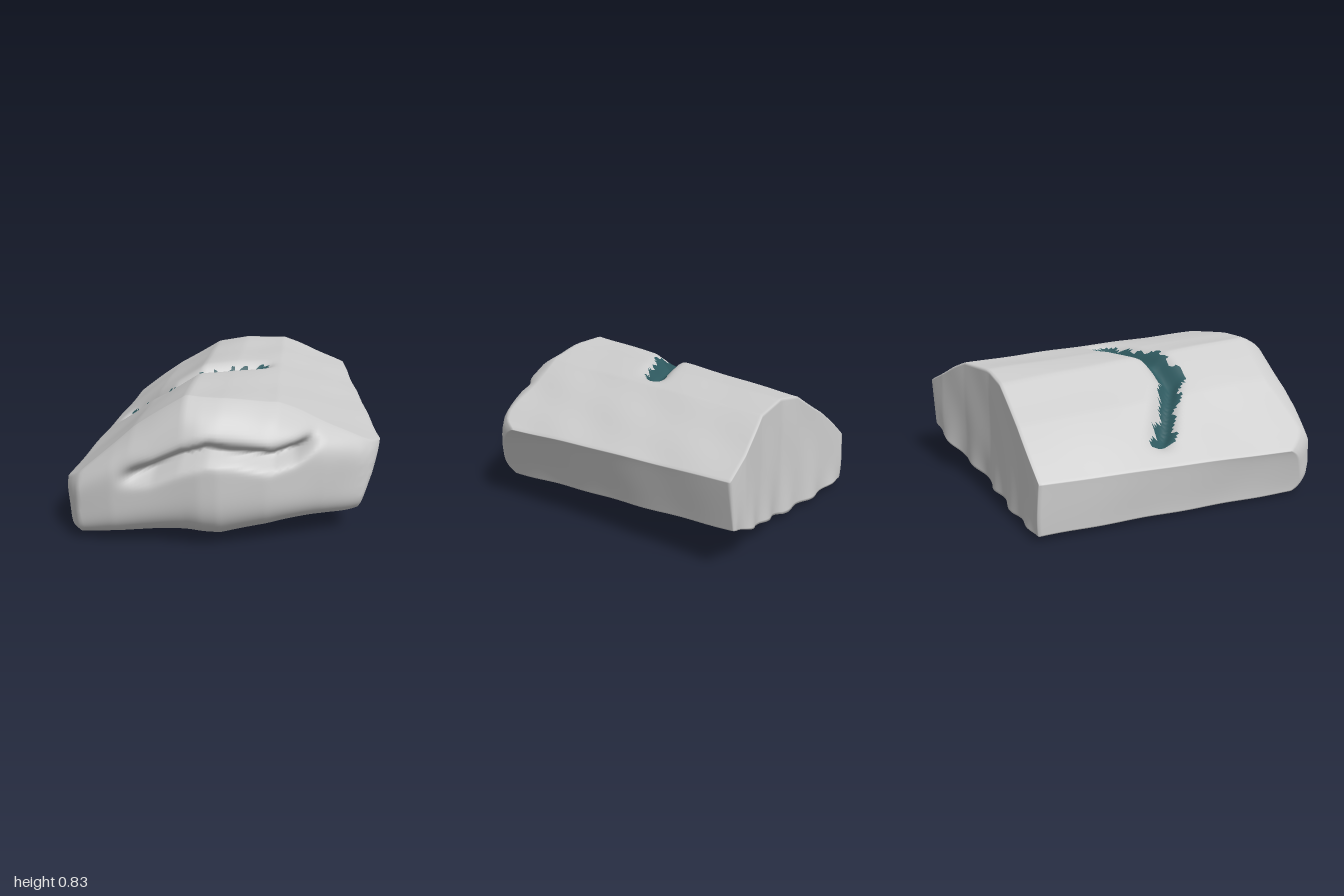
import * as THREE from 'three';
import { mergeVertices } from 'three/addons/utils/BufferGeometryUtils.js';

const lerp = THREE.MathUtils.lerp;
const smooth = THREE.MathUtils.smoothstep;

// piecewise linear lookup: rows of [key, value...]
function along(rows, key, col = 1) {
  if (key <= rows[0][0]) return rows[0][col];
  for (let i = 1; i < rows.length; i++) {
    const a = rows[i - 1], b = rows[i];
    if (key <= b[0]) return lerp(a[col], b[col], (key - a[0]) / (b[0] - a[0]));
  }
  return rows[rows.length - 1][col];
}

// cross-section edges: [u, front x, front y, back x, back y]
const TOP = [
  [-1, -0.87, 0.31, -0.75, 0.34], [-0.5, -0.47, 0.645, -0.45, 0.56],
  [-0.2, -0.18, 0.835, -0.17, 0.73], [0.02, 0.02, 0.82, 0.03, 0.76],
  [0.34, 0.3, 0.785, 0.29, 0.75], [1, 0.87, 0.51, 0.72, 0.54],
];
const BOTTOM = [
  [-1, -0.82, 0.025, -0.74, 0.04], [-0.5, -0.42, 0.015, -0.4, 0.035],
  [0, 0, 0.005, -0.02, 0.05], [0.5, 0.38, 0.075, 0.34, 0.14], [1, 0.74, 0.15, 0.68, 0.26],
];
// plan outline: [x, z]
const FRONT = [
  [-0.87, 0.76], [-0.82, 0.85], [-0.77, 0.91], [-0.57, 0.955], [-0.1, 1], [0, 0.995],
  [0.25, 0.94], [0.55, 0.82], [0.76, 0.71], [0.82, 0.65], [0.87, 0.54],
];
const BACK = [[-0.75, -0.81], [0, -0.82], [0.3, -0.89], [0.55, -0.97], [0.72, -1]];
// front slot [x, y] and top crack [x, z]
const SLOT = [
  [-0.52, 0.41], [-0.35, 0.455], [-0.2, 0.53], [-0.05, 0.58],
  [0.1, 0.56], [0.28, 0.525], [0.4, 0.555], [0.5, 0.61],
];
const CRACK = [
  [-0.67, -0.05], [-0.52, 0.05], [-0.35, 0.17], [-0.2, 0.155], [-0.05, 0.09], [0.22, -0.04],
];
// width of the crack lining on its front side: [x, width]
const LINING = [
  [-0.67, 0.09], [-0.55, 0.06], [-0.4, 0.09], [-0.3, 0.1], [-0.22, 0.06],
  [-0.12, 0.09], [-0.02, 0.05], [0.1, 0.06], [0.22, 0.05],
];

// uneven hand-worn surface
function bump(x, y, z) {
  return 0.003 * Math.sin(9 * x + 5 * z + 2) * Math.cos(8 * z - 6 * y)
    + 0.002 * Math.sin(17 * x - 11 * y + 4 * z);
}

// maps a point of the cube (each side -1..1) onto the slab
function shape(u, v, w, p) {
  const f = (w + 1) / 2, h = (v + 1) / 2;
  const at = (rows, c) => lerp(along(rows, u, c + 2), along(rows, u, c), f);
  let x = lerp(at(BOTTOM, 1), at(TOP, 1), h);
  let y = lerp(at(BOTTOM, 2), at(TOP, 2), h);

  // front rolls over at the top and further under at the bottom
  const side = smooth(Math.abs(u), 0.4, 1);
  const roll = v > 0 ? 0.19 * v ** 5 : 0.29 * v ** 4;
  const zf = along(FRONT, x) - roll * (1 - 0.7 * side);
  const zb = along(BACK, x) - 0.02 * (1 - h) + 0.012 * Math.sin(23 * x) * (1 - h) ** 4;
  let z = lerp(zb, zf, f);

  // slot pressed into the front
  if (w > 0.999) {
    const fade = smooth(x, -0.56, -0.32) * (1 - smooth(x, 0.36, 0.55))
      * (1 - 0.35 * Math.exp(-(((x - 0.08) / 0.1) ** 2)));
    const d = y - along(SLOT, x);
    z -= 0.13 * fade * Math.exp(-((d / 0.042) ** 2));
    z += 0.015 * fade * Math.exp(-(((d - 0.09) / 0.05) ** 2));
  }
  // crack pressed into the top
  if (v > 0.999) {
    const fade = smooth(x, -0.75, -0.6) * (1 - smooth(x, 0.1, 0.27));
    y -= 0.085 * fade * Math.exp(-(((z - along(CRACK, x)) / 0.065) ** 2));
  }
  const b = bump(x, y, z);
  x += b * u;
  y = Math.max(0, y + b * v);
  z = Math.min(1, Math.max(-1, z + b * w));
  return p.set(x, y, z);
}

// ragged half-width of the coloured lining of the crack
function ragged(x, front) {
  const n = Math.sin(Math.floor((x + 2) / 0.06) * 12.99 + (front ? 3 : 8)) * 437.58;
  const tooth = Math.abs(((x + 2) / 0.09 % 1) * 2 - 1);
  return (front ? along(LINING, x) : 0.045) + 0.03 * (n - Math.floor(n)) + 0.035 * tooth - 0.025;
}

export function createModel() {
  const stone = new THREE.MeshStandardMaterial({ color: 0xcccccc });
  stone.name = 'grey stone';
  const teal = new THREE.MeshStandardMaterial({ color: 0x2f5a60 });
  teal.name = 'dark teal';

  let geo = new THREE.BoxGeometry(2, 2, 2, 88, 44, 88);
  geo.deleteAttribute('normal');
  geo.deleteAttribute('uv');
  geo.clearGroups();
  geo = mergeVertices(geo, 1e-4);

  const pos = geo.attributes.position, p = new THREE.Vector3(), isTop = [];
  for (let i = 0; i < pos.count; i++) {
    isTop.push(pos.getY(i) > 0.999);
    shape(pos.getX(i), pos.getY(i), pos.getZ(i), p);
    pos.setXYZ(i, p.x, p.y, p.z);
  }

  // sort the faces into stone and crack lining
  const idx = geo.index.array, plain = [], lining = [];
  for (let i = 0; i < idx.length; i += 3) {
    const t = [idx[i], idx[i + 1], idx[i + 2]];
    const x = t.reduce((s, k) => s + pos.getX(k), 0) / 3;
    const z = t.reduce((s, k) => s + pos.getZ(k), 0) / 3;
    const d = z - along(CRACK, x);
    const inside = t.every((k) => isTop[k]) && x > -0.68 && x < 0.21
      && Math.abs(d) < ragged(x, d > 0);
    (inside ? lining : plain).push(...t);
  }
  geo.setIndex([...plain, ...lining]);
  geo.addGroup(0, plain.length, 0);
  geo.addGroup(plain.length, lining.length, 1);
  geo.computeVertexNormals();

  const slab = new THREE.Mesh(geo, [stone, teal]);
  slab.name = 'stoneSlab';
  const group = new THREE.Group();
  group.name = 'crackedStone';
  group.add(slab);
  return group;
}
